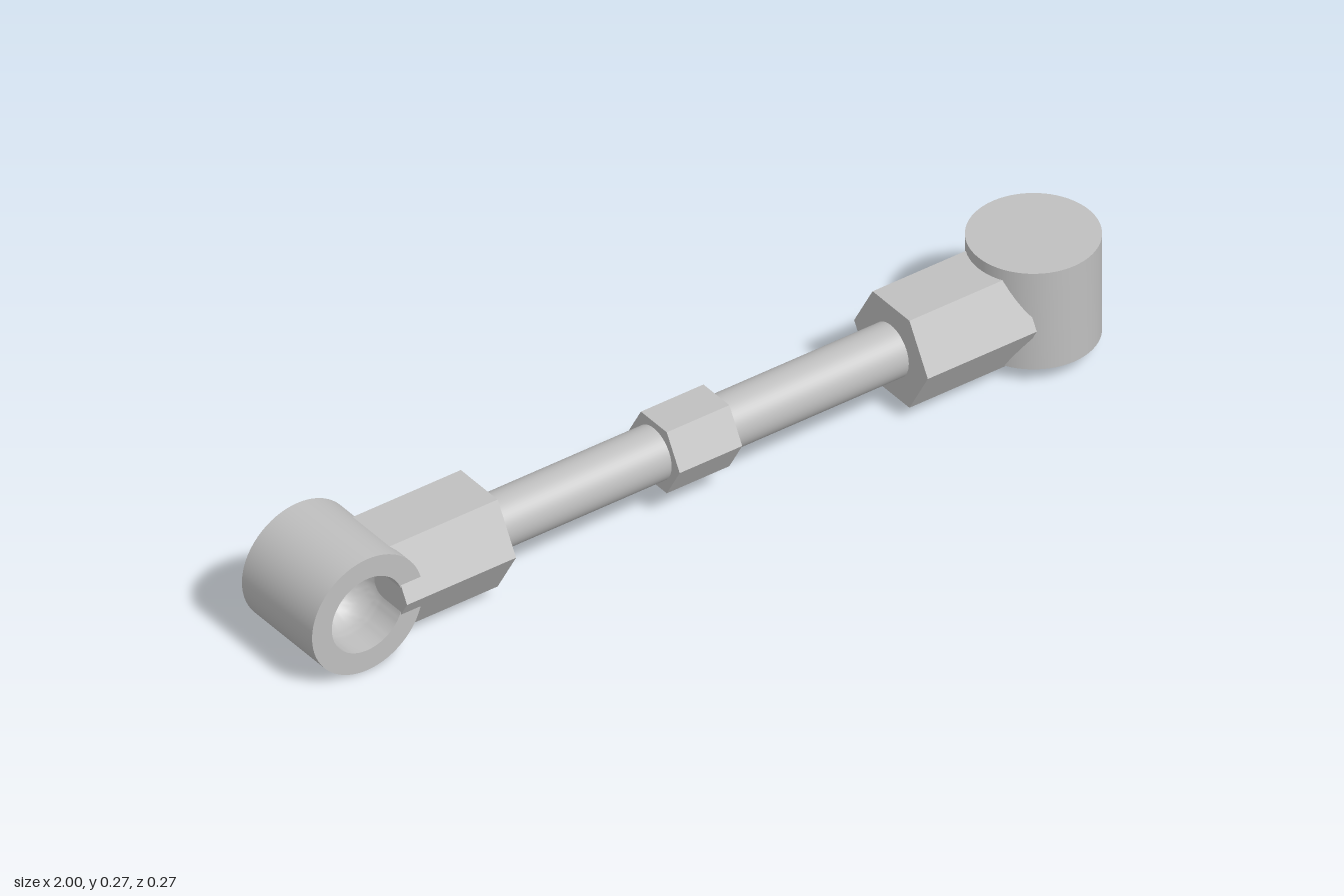
import * as THREE from 'three';
import { toCreasedNormals } from 'three/addons/utils/BufferGeometryUtils.js';

const AXIS_Y = 0.138; // height of the rod axis

export function createModel() {
  const group = new THREE.Group();
  const steel = new THREE.MeshStandardMaterial({ color: 0xbfbfbf });
  steel.name = 'steel';

  const add = (name, geometry, x, y = AXIS_Y, z = 0) => {
    const mesh = new THREE.Mesh(geometry, steel);
    mesh.name = name;
    mesh.position.set(x, y, z);
    group.add(mesh);
    return mesh;
  };

  // Bar lying along x; six sides give flats on top and bottom
  const bar = (radius, length, sides) => {
    const g = new THREE.CylinderGeometry(radius, radius, length, sides).rotateZ(Math.PI / 2);
    return sides === 6 ? toCreasedNormals(g, 0.5) : g;
  };

  // Cup with a round-bottomed bore, open towards -y
  const socketGeometry = () => {
    const R = 0.137, half = 0.118, bore = 0.088, boreDepth = 0.06;
    const profile = [];
    for (let i = 0; i <= 16; i++) {
      const a = (i / 16) * Math.PI / 2;
      profile.push(new THREE.Vector2(bore * Math.sin(a), -half + boreDepth + bore * Math.cos(a)));
    }
    profile.push(
      new THREE.Vector2(bore, -half),
      new THREE.Vector2(R, -half),
      new THREE.Vector2(R, half),
      new THREE.Vector2(0, half)
    );
    return toCreasedNormals(new THREE.LatheGeometry(profile, 64), 0.6);
  };

  // Central rod and adjusting nut
  add('rod', bar(0.06, 1.1, 48), 0);
  add('centreNut', bar(0.087, 0.155, 6), 0);

  // Hexagonal end shanks
  for (const [side, name] of [[-1, 'rightShank'], [1, 'leftShank']]) {
    add(name, bar(0.124, 0.27, 6), side * 0.645);
  }

  // Ball sockets: one opens forwards, the other downwards
  const socket = socketGeometry();
  add('rightSocket', socket, -0.863, AXIS_Y, -0.015).rotation.x = -Math.PI / 2;
  add('leftSocket', socket, 0.863, AXIS_Y + 0.016, 0);

  return group;
}
